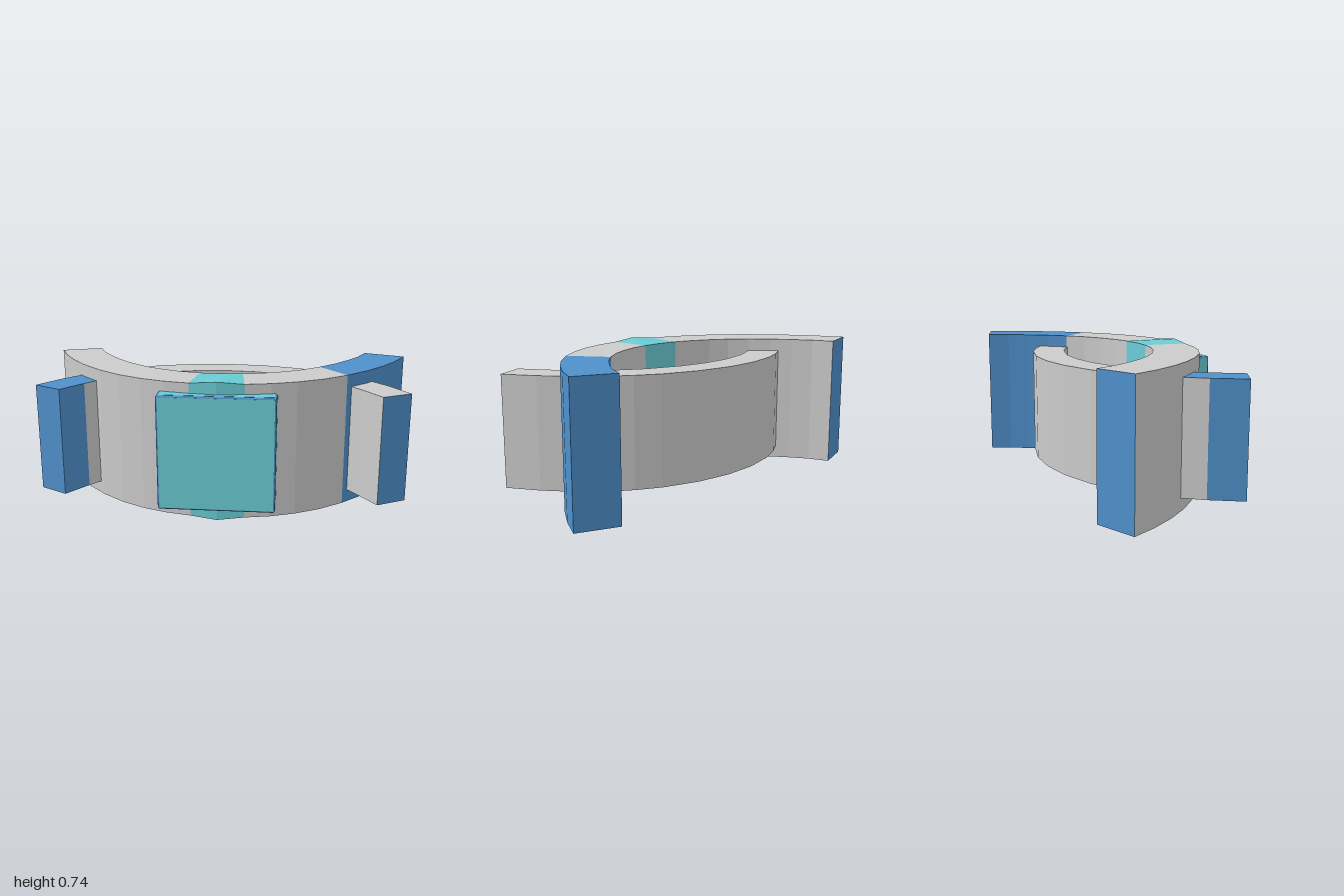
import * as THREE from 'three';
import { RoundedBoxGeometry } from 'three/addons/geometries/RoundedBoxGeometry.js';

const material = (color) => new THREE.MeshStandardMaterial({ color, flatShading: true });
const grey = material(0xcccccc);
const blue = material(0x4f90cb);
const cyan = material(0x6accd4);

// Half plan of each arch: [outer x, outer z, inner x, inner z, outer bulge in height]
const frontHalf = [
  [0, 0.408, 0, 0.165, 0.012], [0.14, 0.39, 0.112, 0.157], [0.27, 0.362, 0.215, 0.133],
  [0.4, 0.313, 0.32, 0.09], [0.53, 0.24, 0.42, 0.033], [0.655, 0.14, 0.515, -0.045],
  [0.77, 0.02, 0.6, -0.135], [0.86, -0.1, 0.675, -0.235], [0.938, -0.23, 0.738, -0.335],
  [1, -0.365, 0.785, -0.445],
];
const backHalf = [
  [0, -0.375, 0, -0.2], [0.2, -0.357, 0.17, -0.184], [0.4, -0.3, 0.35, -0.13],
  [0.53, -0.237, 0.44, -0.085], [0.64, -0.165, 0.52, -0.035], [0.72, -0.1, 0.595, 0.03],
  [0.8, -0.01, 0.67, 0.1], [0.875, 0.08, 0.73, 0.18], [0.975, 0.235, 0.825, 0.32],
];
const flip = ([xo, zo, xi, zi, b]) => [-xo, zo, -xi, zi, b];

// Curved wall through the stations; sides, lids and end caps can be made separately
function wall(name, stations, [low, high], mat, parts) {
  const pos = [];
  const quad = (a, b, c, d) => pos.push(...a, ...b, ...c, ...a, ...c, ...d);
  const corners = ([xo, zo, xi, zi, bulge = 0]) => ({
    ob: [xo, low - bulge, zo], ot: [xo, high + bulge, zo],
    ib: [xi, low, zi], it: [xi, high, zi],
  });
  const rows = stations.map(corners);
  for (let i = 0; i + 1 < rows.length; i++) {
    const a = rows[i], b = rows[i + 1];
    if (parts.includes('sides')) {
      quad(a.ob, b.ob, b.ot, a.ot);
      quad(b.ib, a.ib, a.it, b.it);
    }
    if (parts.includes('lids')) {
      quad(a.ot, b.ot, b.it, a.it);
      quad(a.ib, b.ib, b.ob, a.ob);
    }
  }
  const s = rows[0], e = rows[rows.length - 1];
  if (parts.includes('startCap')) quad(s.ib, s.ob, s.ot, s.it);
  if (parts.includes('endCap')) quad(e.ob, e.ib, e.it, e.ot);
  const geometry = new THREE.BufferGeometry();
  geometry.setAttribute('position', new THREE.Float32BufferAttribute(pos, 3));
  geometry.computeVertexNormals();
  const mesh = new THREE.Mesh(geometry, mat);
  mesh.name = name;
  return mesh;
}

export function createModel() {
  const model = new THREE.Group();
  model.name = 'crossedArches';

  // Tall front arch, running from right to left, with a cyan keystone and a blue left arm
  const front = [...frontHalf.slice(1).reverse().map(flip), ...frontHalf];
  const tall = [0.014, 0.725];
  const mid = frontHalf.length - 1;
  const frontArch = new THREE.Group();
  frontArch.name = 'frontArch';
  frontArch.add(
    wall('frontRightArm', front.slice(0, mid), tall, grey, ['sides', 'lids']),
    wall('frontRightTip', front.slice(0, 2), tall, blue, ['startCap']),
    wall('keystone', front.slice(mid - 1, mid + 2), tall, cyan, ['sides', 'lids', 'startCap', 'endCap']),
    wall('frontLeftInnerArm', front.slice(mid + 1, mid + 6), tall, grey, ['sides', 'lids']),
    wall('frontLeftArm', front.slice(mid + 5), tall, blue, ['sides', 'lids', 'endCap']),
  );

  // Lower back arch, running from left to right, with a blue right end
  const back = [...backHalf.slice(1).reverse(), ...backHalf.map(flip)];
  const short = [0.081, 0.658];
  const end = back.length;
  const backArch = new THREE.Group();
  backArch.name = 'backArch';
  backArch.add(
    wall('backBandSides', back.slice(0, end - 1), short, grey, ['sides']),
    wall('backBandLids', back.slice(0, end - 3), short, grey, ['lids']),
    wall('backLeftTip', back.slice(0, 2), short, blue, ['startCap']),
    wall('backRightLids', back.slice(end - 4), short, blue, ['lids']),
    wall('backRightArm', back.slice(end - 2), short, blue, ['sides', 'endCap']),
  );

  // Square front plate: cyan faces over a blue bevelled core
  const plate = new THREE.Group();
  plate.name = 'frontPlate';
  plate.position.set(0, 0.369, 0.395);
  const [w, h, d, bevel] = [0.605, 0.607, 0.1, 0.02];
  const core = new THREE.Mesh(new RoundedBoxGeometry(w - 0.002, h - 0.002, d - 0.002, 2, 0.01), blue);
  core.name = 'plateBevel';
  plate.add(core);
  for (const [x, y, z] of [[0, 1, 1], [1, 0, 1], [1, 1, 0]]) {
    const face = new THREE.Mesh(
      new THREE.BoxGeometry(w - x * bevel, h - y * bevel, d - z * bevel), cyan);
    face.name = 'plateFace';
    plate.add(face);
  }

  model.add(frontArch, backArch, plate);
  return model;
}
